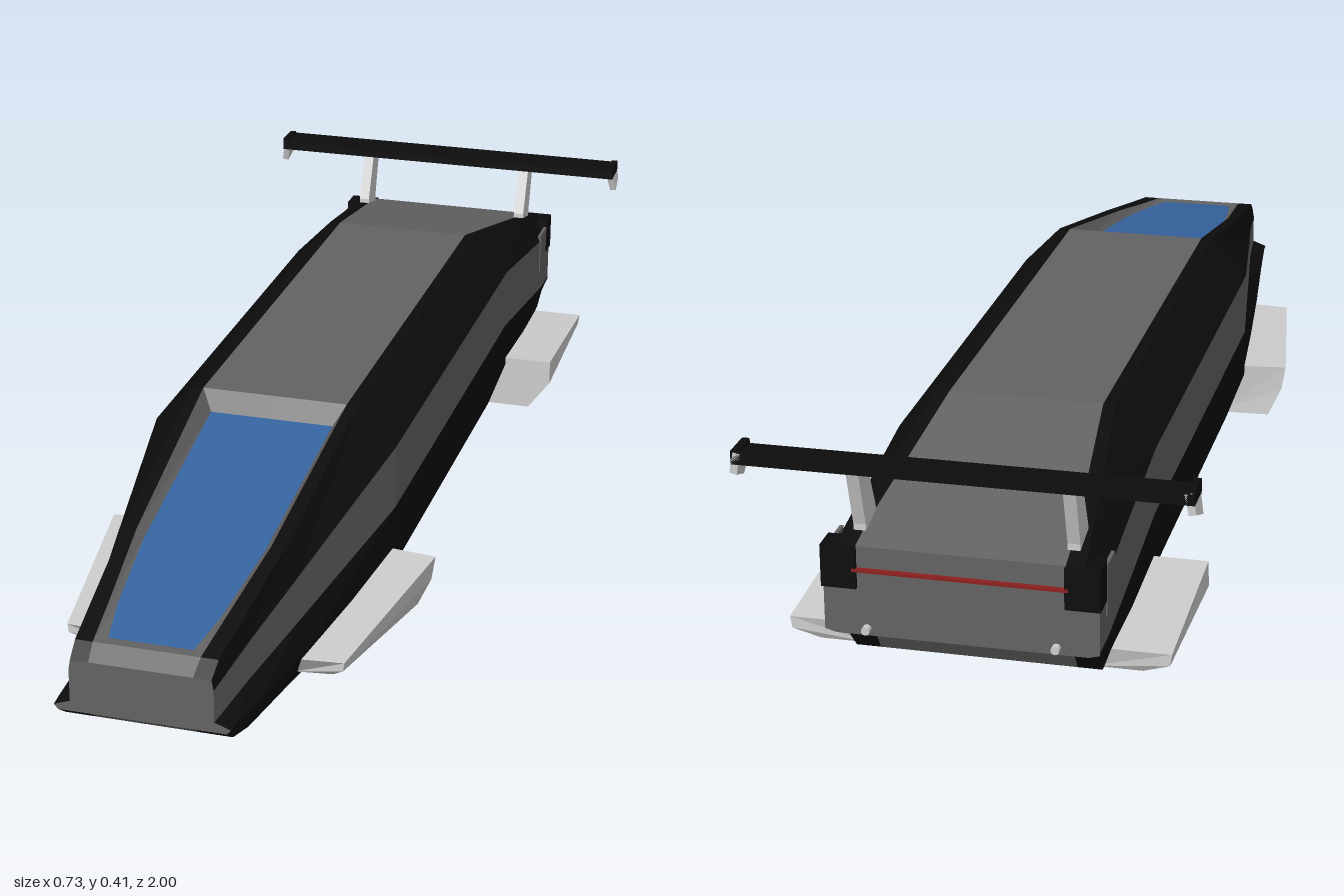
import * as THREE from 'three';

const paint = (color) => new THREE.MeshStandardMaterial({ color, flatShading: true, side: THREE.DoubleSide });

export function createModel() {
  const root = new THREE.Group();
  const black = paint(0x0c0c0c), grey = paint(0x626262), silver = paint(0xcccccc);
  const glass = paint(0x35639f), red = paint(0x8c1f1f);

  const add = (name, geometry, material, parent = root) => {
    const mesh = new THREE.Mesh(geometry, material);
    mesh.name = name;
    parent.add(mesh);
    return mesh;
  };

  // Quads between two lines of points running front to back, mirrored to both sides
  function strip(name, low, high, material, parent = root) {
    const pos = [];
    for (const s of [1, -1]) {
      for (let i = 0; i < low.length - 1; i++) {
        const [a, b, c, d] = [low[i], high[i], high[i + 1], low[i + 1]];
        const order = s > 0 ? [a, d, c, a, c, b] : [a, c, d, a, b, c];
        for (const p of order) pos.push(p[0] * s, p[1], p[2]);
      }
    }
    const g = new THREE.BufferGeometry();
    g.setAttribute('position', new THREE.Float32BufferAttribute(pos, 3));
    g.computeVertexNormals();
    return add(name, g, material, parent);
  }

  // Side profile of [z, y] points given a thickness and centred on x
  function sidePlate(name, profile, thickness, x, material) {
    const shape = new THREE.Shape(profile.map((p) => new THREE.Vector2(...p)));
    const g = new THREE.ExtrudeGeometry(shape, { depth: thickness, bevelEnabled: false });
    g.rotateY(-Math.PI / 2).translate(thickness / 2 + x, 0, 0);
    return add(name, g, material);
  }

  const box = (name, w, h, d, x, y, z, material) =>
    add(name, new THREE.BoxGeometry(w, h, d).translate(x, y, z), material);

  // Half hull sections from belly to roof: belly, chine, flank, band low, band high, shoulder, roof edge
  const mid = [[0.14, 0], [0.185, 0], [0.218, 0.09], [0.218, 0.18], [0.218, 0.295], [0.15, 0.365], [0.13, 0.365]];
  const stations = [
    [1.0, [[0.085, 0.112], [0.138, 0.112], [0.145, 0.12], [0.118, 0.13], [0.118, 0.185], [0.115, 0.203], [0.085, 0.203]]],
    [0.97, [[0.085, 0.09], [0.138, 0.09], [0.147, 0.12], [0.122, 0.132], [0.122, 0.19], [0.117, 0.223], [0.088, 0.223]]],
    [0.87, [[0.07, 0.05], [0.13, 0.05], [0.157, 0.11], [0.133, 0.137], [0.133, 0.203], [0.125, 0.243], [0.097, 0.243]]],
    [0.69, [[0.09, 0.033], [0.145, 0.033], [0.178, 0.105], [0.16, 0.15], [0.16, 0.232], [0.138, 0.281], [0.115, 0.281]]],
    [0.3, mid],
    [-0.57, mid],
    [-0.89, [[0.16, 0.05], [0.2, 0.05], [0.218, 0.1], [0.218, 0.135], [0.218, 0.245], [0.185, 0.293], [0.16, 0.293]]],
    [-0.93, [[0.16, 0.11], [0.2, 0.11], [0.218, 0.12], [0.218, 0.13], [0.218, 0.235], [0.19, 0.284], [0.163, 0.284]]],
    [-0.988, [[0.16, 0.12], [0.2, 0.12], [0.218, 0.125], [0.218, 0.13], [0.218, 0.222], [0.195, 0.27], [0.165, 0.27]]],
  ];
  const line = (k) => stations.map(([z, s]) => [...s[k], z]);
  const centre = (points) => points.map(([, y, z]) => [0, y, z]);
  const belly = line(0), roof = line(6);

  strip('belly', centre(belly), belly, grey);
  ['bellyEdge', 'chine', 'lowerFlank', 'sideBand', 'shoulder', 'roofTrim'].forEach((name, k) =>
    strip(name, line(k), line(k + 1), k === 3 ? grey : black));
  strip('noseTop', roof.slice(0, 2), centre(roof.slice(0, 2)), grey);
  strip('roof', roof.slice(4), centre(roof.slice(4)), grey);

  // Flat nose and tail faces
  for (const [name, i, turn] of [['noseFace', 0, 0], ['tailFace', stations.length - 1, Math.PI]]) {
    const [z, s] = stations[i];
    const outline = [...s, ...[...s].reverse().map(([x, y]) => [-x, y])];
    const g = new THREE.ShapeGeometry(new THREE.Shape(outline.map((p) => new THREE.Vector2(...p))));
    add(name, g.rotateY(turn).translate(0, 0, z), grey);
  }

  // Recessed canopy: glass with a sloping frame
  const pane = [[0.07, 0.222, 0.95], [0.086, 0.237, 0.86], [0.102, 0.267, 0.69], [0.11, 0.33, 0.32]];
  const rim = roof.slice(1, 5);
  strip('canopyGlass', pane, centre(pane), glass);
  strip('canopyFrame', rim, pane, grey);
  for (const [name, i] of [['canopyFrontSill', 0], ['canopyRearWall', 3]]) {
    strip(name, [rim[i], [0, rim[i][1], rim[i][2]]], [pane[i], [0, pane[i][1], pane[i][2]]], grey);
  }

  // Wedge pods with a slot underneath; sections: inner low, outer low, outer mid, outer top, inner top
  function podPair(name, front, back) {
    const pods = new THREE.Group();
    pods.name = name;
    root.add(pods);
    const edge = (k) => [front[k], back[k]];
    for (let k = 0; k < 4; k++) strip('podSide', edge(k + 1), edge(k), silver, pods).visible = k > 0;
    pods.remove(pods.children[0]);
    strip('podInnerWall', edge(4), edge(0), silver, pods);
    for (const s of [front, back]) strip('podEnd', [s[0], s[0], s[1]], [s[4], s[3], s[2]], silver, pods);
    const mix = (a, b, t) => a.map((v, i) => v + (b[i] - v) * t);
    const at = (u, v) => mix(mix(front[0], front[1], u), mix(back[0], back[1], u), v);
    const ring = (m, n, lift) => [[m, n], [1 - m, n], [1 - m, 1 - n], [m, 1 - n], [m, n]]
      .map(([u, v]) => { const p = at(u, v); p[1] += lift; return p; });
    const lip = ring(0.22, 0.1, 0), deep = ring(0.22, 0.1, 0.02);
    strip('podSlotRim', ring(0, 0, 0), lip, silver, pods);
    strip('podSlotWall', lip, deep, silver, pods);
    strip('podSlotFloor', [deep[0], deep[3]], [deep[1], deep[2]], silver, pods);
  }
  podPair('frontPods',
    [[0.15, 0.05, 0.68], [0.215, 0.055, 0.68], [0.238, 0.075, 0.7], [0.24, 0.09, 0.7], [0.14, 0.09, 0.71]],
    [[0.165, 0.005, 0.31], [0.265, 0.005, 0.315], [0.29, 0.06, 0.32], [0.297, 0.105, 0.32], [0.18, 0.105, 0.305]]);
  podPair('rearPods',
    [[0.17, 0.002, -0.58], [0.268, 0.002, -0.58], [0.311, 0.06, -0.58], [0.31, 0.105, -0.58], [0.18, 0.105, -0.58]],
    [[0.18, 0.05, -0.88], [0.262, 0.05, -0.88], [0.307, 0.068, -0.89], [0.31, 0.088, -0.89], [0.18, 0.088, -0.89]]);

  // Rear wing
  sidePlate('wingBlade', [[-0.93, 0.384], [-0.985, 0.386], [-0.985, 0.405], [-0.93, 0.4]], 0.72, 0, black);
  for (const s of [1, -1]) {
    sidePlate('wingStrut', [[-0.895, 0.27], [-0.95, 0.26], [-0.95, 0.29], [-0.98, 0.388], [-0.935, 0.388], [-0.897, 0.3]],
      0.02, s * 0.169, silver);
    const plate = sidePlate('wingEndPlate', [[-0.93, 0.045], [-0.985, 0.05], [-0.985, 0.015], [-0.945, 0]], 0.012, 0, silver);
    plate.position.set(s * 0.36, 0.356, 0);
    plate.rotation.z = s * 0.2;
    box('wingTip', 0.012, 0.022, 0.055, s * 0.354, 0.397, -0.957, black);

    // Tail corners, side straps and small stubs
    box('strutBase', 0.006, 0.085, 0.055, s * 0.217, 0.215, -0.92, grey);
    box('tailCorner', 0.056, 0.07, 0.045, s * 0.192, 0.235, -0.972, black);
    add('tailStub', new THREE.CylinderGeometry(0.007, 0.007, 0.014, 10).rotateX(Math.PI / 2)
      .translate(s * 0.15, 0.132, -0.993), silver);
  }
  box('tailLight', 0.34, 0.005, 0.008, 0, 0.232, -0.992, red);

  return root;
}
